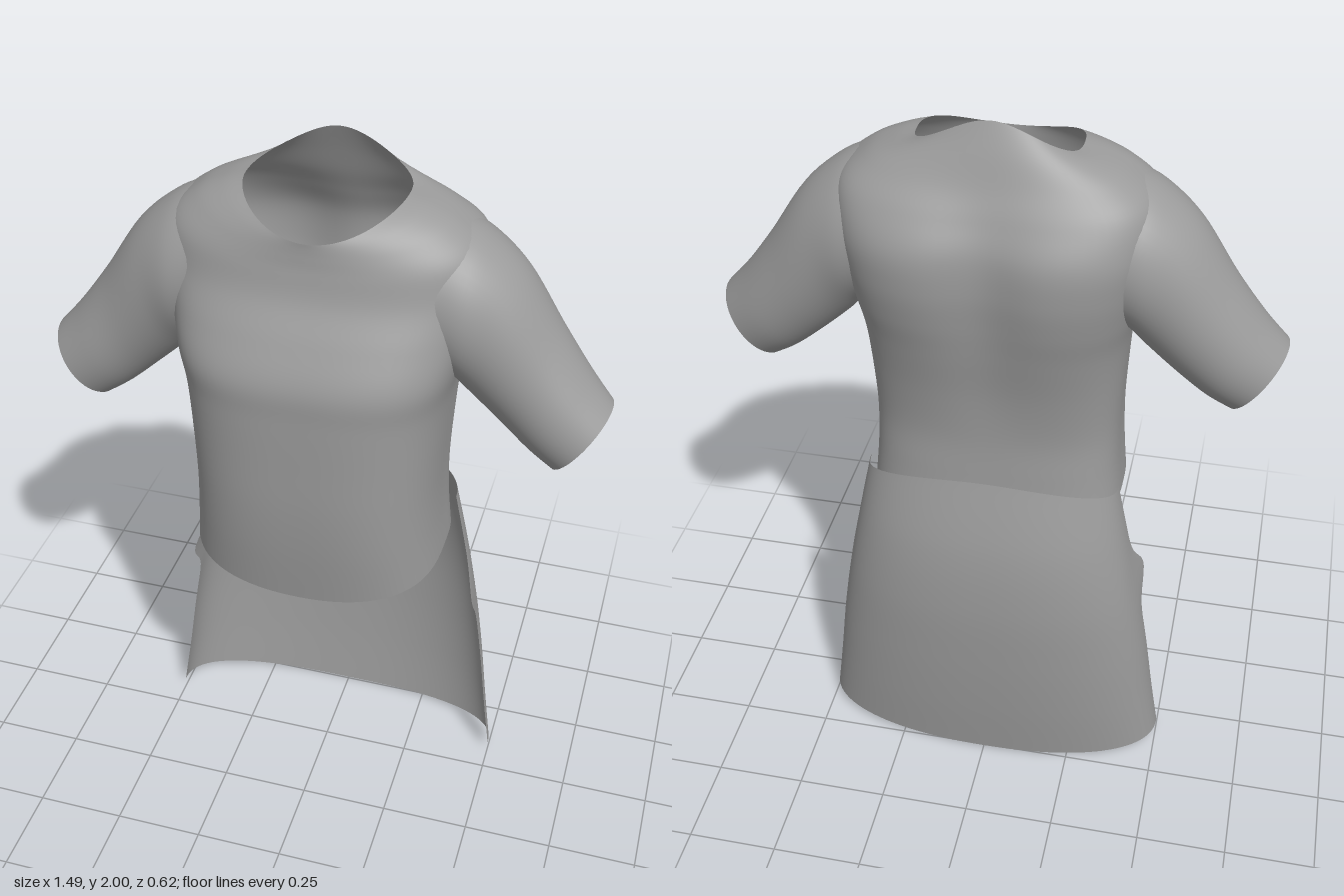
import * as THREE from 'three';

const cloth = new THREE.MeshStandardMaterial({ color: 0x9b9b9b, side: THREE.DoubleSide });
cloth.name = 'grey cloth';

// Smoothly interpolates every column of a table of cross-sections, t in 0..1
function sample(rows, t) {
  const f = t * (rows.length - 1);
  const i = Math.min(Math.floor(f), rows.length - 2);
  const u = f - i;
  const at = (k) => rows[Math.max(0, Math.min(rows.length - 1, k))];
  return rows[i].map((b, c) => {
    const a = at(i - 1)[c], d = at(i + 1)[c], e = at(i + 2)[c];
    return b + 0.5 * u * (d - a + u * (2 * a - 5 * b + 4 * d - e + u * (3 * (b - d) + e - a)));
  });
}

// Open sheet through cross-sections; point(row, u) gives [x, y, z]
function loft(name, rows, point, nu, nv, closed) {
  const pos = [], index = [];
  const cols = closed ? nu : nu + 1;
  for (let j = 0; j <= nv; j++) {
    const row = sample(rows, j / nv);
    for (let i = 0; i < cols; i++) pos.push(...point(row, i / nu));
  }
  for (let j = 0; j < nv; j++) {
    for (let i = 0; i < nu; i++) {
      const a = j * cols + i, b = j * cols + ((i + 1) % cols);
      index.push(a, a + cols, b, b, a + cols, b + cols);
    }
  }
  const geo = new THREE.BufferGeometry();
  geo.setAttribute('position', new THREE.Float32BufferAttribute(pos, 3));
  geo.setIndex(index);
  geo.computeVertexNormals();
  const mesh = new THREE.Mesh(geo, cloth);
  mesh.name = name;
  return mesh;
}

// Bodice: half width, front z, back z, side y, front y, back y, front squareness, spine groove
const bodice = [
  [0.345, 0.28, -0.20, 0.885, 0.815, 0.91, 3, 0],
  [0.334, 0.30, -0.195, 1.0, 0.98, 1.0, 3, 0],
  [0.330, 0.31, -0.192, 1.12, 1.12, 1.12, 3, 0],
  [0.335, 0.312, -0.212, 1.26, 1.26, 1.26, 3, 0.01],
  [0.345, 0.312, -0.245, 1.4, 1.4, 1.4, 3, 0.02],
  [0.365, 0.308, -0.27, 1.5, 1.5, 1.5, 3, 0.03],
  [0.385, 0.265, -0.285, 1.6, 1.6, 1.6, 2.8, 0.035],
  [0.400, 0.217, -0.28, 1.7, 1.69, 1.7, 2.6, 0.035],
  [0.395, 0.198, -0.235, 1.8, 1.76, 1.78, 2.4, 0.02],
  [0.330, 0.192, -0.188, 1.862, 1.80, 1.85, 2.2, 0.005],
  [0.260, 0.190, -0.152, 1.895, 1.825, 1.93, 2.1, 0],
  [0.205, 0.190, -0.122, 1.91, 1.84, 2.0, 2, 0],
];
function bodicePoint([w, front, back, ySide, yFront, yBack, square, groove], u) {
  const c = Math.cos(-u * Math.PI * 2), s = Math.sin(-u * Math.PI * 2);
  const n = s > 0 ? square : 3;
  const r = 1 / Math.pow(Math.abs(c) ** n + Math.abs(s) ** n, 1 / n);
  const x = w * r * c;
  if (s > 0) return [x, ySide + (yFront - ySide) * s * s, front * r * s];
  const dent = groove * Math.exp(-((x / 0.11) ** 2)) * -s;
  return [x, ySide + (yBack - ySide) * s ** 4, -back * r * s + dent];
}

// Sleeve: upper edge x, y, lower edge x, y, front z, back z
const sleeve = [
  [0.31, 1.862, 0.31, 1.46, 0.165, -0.20],
  [0.40, 1.822, 0.345, 1.44, 0.165, -0.198],
  [0.50, 1.735, 0.385, 1.395, 0.145, -0.18],
  [0.60, 1.585, 0.46, 1.325, 0.128, -0.16],
  [0.68, 1.475, 0.54, 1.255, 0.125, -0.14],
  [0.745, 1.40, 0.605, 1.21, 0.12, -0.115],
];
const sleevePoint = (side) => ([tx, ty, bx, by, front, back], u) => {
  const c = Math.cos(side * u * Math.PI * 2), s = Math.sin(side * u * Math.PI * 2);
  const k = (1 + c) / 2;
  return [side * (bx + (tx - bx) * k), by + (ty - by) * k, (front + back) / 2 + ((front - back) / 2) * s];
};

// Back skirt: half width, edge z, back z, edge y, back y
const skirt = [
  [0.500, -0.07, -0.255, 0.03, 0.0],
  [0.475, -0.08, -0.28, 0.2, 0.19],
  [0.448, -0.09, -0.30, 0.4, 0.4],
  [0.415, -0.10, -0.31, 0.6, 0.61],
  [0.380, -0.10, -0.297, 0.78, 0.81],
  [0.345, -0.10, -0.25, 0.95, 1.02],
];
function skirtPoint([w, edge, back, yEdge, yBack], u) {
  const a = (u - 0.5) * Math.PI;
  const c = Math.cos(a), s = Math.sin(a), n = 2.4;
  const r = 1 / Math.pow(Math.abs(c) ** n + Math.abs(s) ** n, 1 / n);
  const y = yEdge + (yBack - yEdge) * c * c;
  // small forward tab at the hip on each side edge
  const tab = Math.exp(-(((y - 0.63) / 0.07) ** 2)) * Math.max(0, 1 - c * 2.5) ** 2;
  return [w * r * s + 0.012 * tab * Math.sign(s), y, edge + (back - edge) * r * c + 0.065 * tab];
}

export function createModel() {
  const model = new THREE.Group();
  model.name = 'dress';
  model.add(loft('bodice', bodice, bodicePoint, 96, 66, true));
  model.add(loft('leftSleeve', sleeve, sleevePoint(1), 48, 30, true));
  model.add(loft('rightSleeve', sleeve, sleevePoint(-1), 48, 30, true));
  model.add(loft('backSkirt', skirt, skirtPoint, 64, 50, false));
  return model;
}
